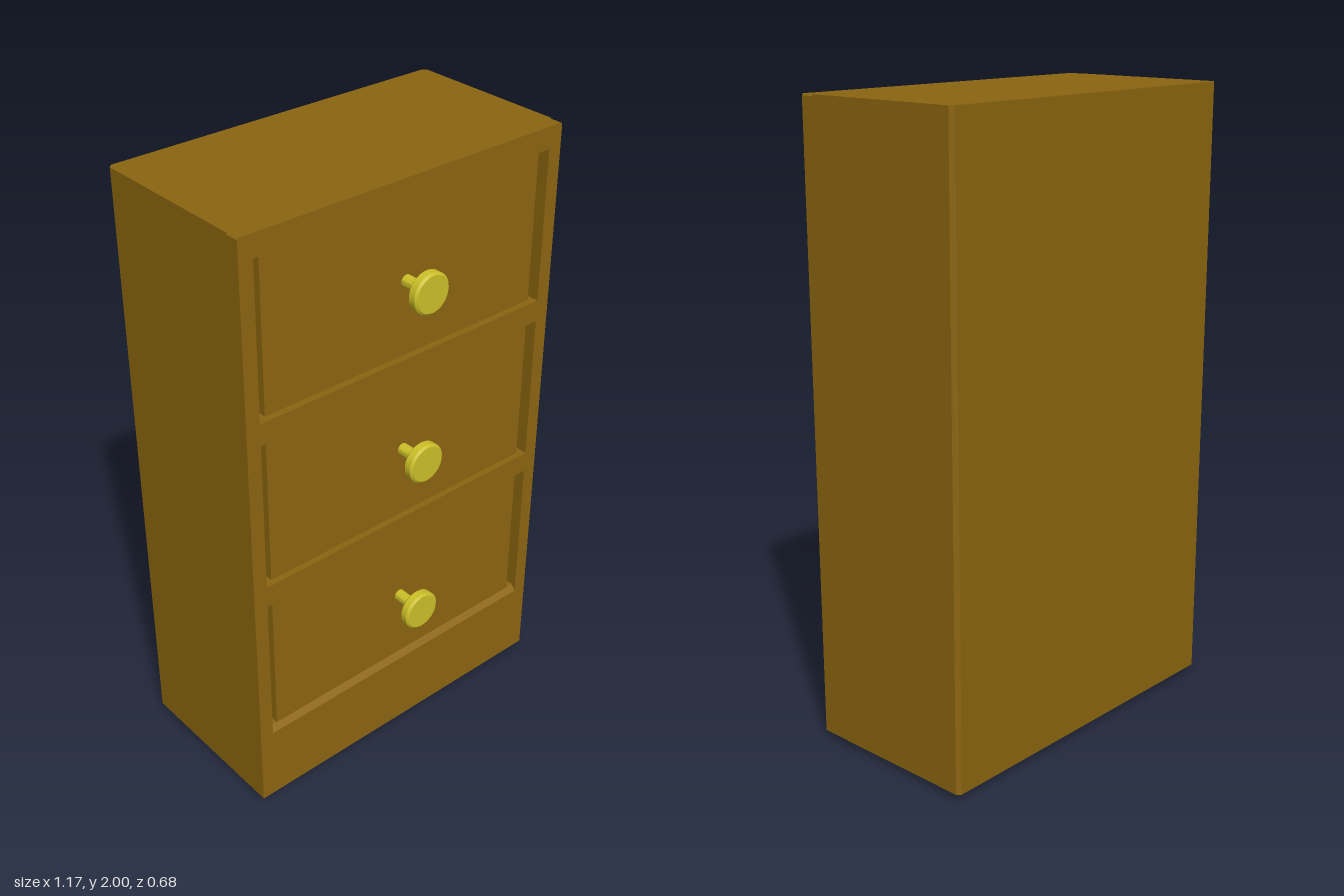
import * as THREE from 'three';
import { toCreasedNormals } from 'three/addons/utils/BufferGeometryUtils.js';

const wood = new THREE.MeshStandardMaterial({ color: 0x8b6510 });
const brass = new THREE.MeshStandardMaterial({ color: 0xccc028 });

const HALF = 0.585, FRONT = 0.245, BACK = -0.34, FRAME = 0.045;
const PLINTH = 0.02, TOP = 2;
const drawers = [
  { name: 'bottomDrawer', low: 0.30, high: 0.785, holeLow: 0.28, knob: 0.543 },
  { name: 'middleDrawer', low: 0.872, high: 1.352, holeLow: 0.866, knob: 1.112 },
  { name: 'topDrawer', low: 1.44, high: 1.92, holeLow: 1.434, knob: 1.68 },
];

function add(parent, name, geometry, material = wood) {
  const mesh = new THREE.Mesh(geometry, material);
  mesh.name = name;
  parent.add(mesh);
  return mesh;
}

function polygon(points) {
  return new THREE.Shape(points.map(([x, y]) => new THREE.Vector2(x, y)));
}

function extrude(shape, depth) {
  return new THREE.ExtrudeGeometry(shape, { depth, bevelEnabled: false });
}

function box(x0, x1, y0, y1, z0, z1) {
  return new THREE.BoxGeometry(x1 - x0, y1 - y0, z1 - z0)
    .translate((x0 + x1) / 2, (y0 + y1) / 2, (z0 + z1) / 2);
}

export function createModel() {
  const model = new THREE.Group();
  model.name = 'chestOfDrawers';

  // Carcass: footprint with eased back corners, extruded upward
  const c = 0.012, inner = FRONT - FRAME;
  const carcass = extrude(polygon([
    [-HALF, -inner], [HALF, -inner], [HALF, -BACK - c],
    [HALF - c, -BACK], [-HALF + c, -BACK], [-HALF, -BACK - c],
  ]), TOP - PLINTH).rotateX(-Math.PI / 2).translate(0, PLINTH, 0);
  add(model, 'carcass', carcass);

  // Front frame with one opening per drawer
  const front = polygon([[-HALF, PLINTH], [HALF, PLINTH], [HALF, TOP - 0.005],
    [HALF - 0.005, TOP], [-HALF + 0.005, TOP], [-HALF, TOP - 0.005]]);
  for (const d of drawers) {
    const y0 = d.holeLow, y1 = d.high + 0.01;
    front.holes.push(polygon([[-0.538, y0], [-0.538, y1], [0.538, y1], [0.538, y0]]));
  }
  add(model, 'frontFrame', extrude(front, FRAME).translate(0, 0, inner));

  // Tapered foot of the carcass
  const foot = box(-HALF, HALF, 0, PLINTH, BACK + 0.012, FRONT);
  const p = foot.attributes.position;
  for (let i = 0; i < p.count; i++) {
    if (p.getY(i) < PLINTH / 2) {
      p.setX(i, p.getX(i) - Math.sign(p.getX(i)) * 0.025);
      p.setZ(i, p.getZ(i) - Math.sign(p.getZ(i)) * 0.02);
    }
  }
  const flatFoot = foot.toNonIndexed();
  flatFoot.computeVertexNormals();
  add(model, 'foot', flatFoot);

  // Sloping ledge below the bottom drawer
  const ledge = extrude(polygon([
    [-FRONT, 0.28], [-inner, 0.28], [-inner, 0.30], [-0.228, 0.30],
  ]), 1.076).rotateY(Math.PI / 2).translate(-0.538, 0, 0);
  add(model, 'bottomLedge', ledge);

  // Knob: stem and bevelled disc
  const profile = [[0.019, 0], [0.019, 0.075], [0.058, 0.075], [0.065, 0.082],
    [0.065, 0.104], [0.058, 0.11], [0, 0.11]].map(([x, y]) => new THREE.Vector2(x, y));
  const knob = toCreasedNormals(new THREE.LatheGeometry(profile, 32), 0.5).rotateX(Math.PI / 2);

  for (const d of drawers) {
    const drawer = new THREE.Group();
    drawer.name = d.name;
    add(drawer, 'drawerFront', box(-0.51, 0.51, d.low, d.high, inner - 0.01, FRONT - 0.015));
    add(drawer, 'knob', knob, brass).position.set(0, d.knob, 0.23);
    model.add(drawer);
  }
  return model;
}
